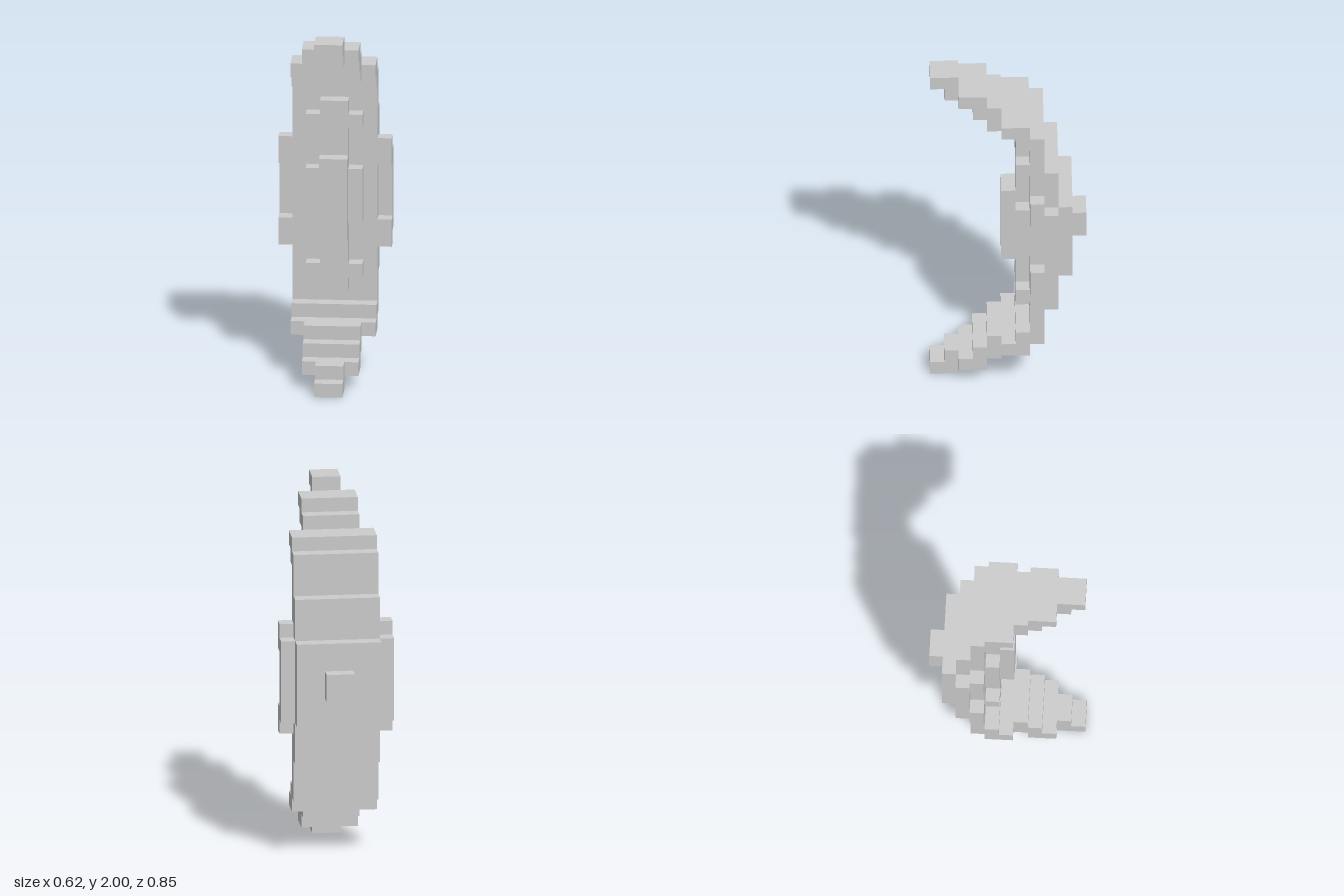
import * as THREE from 'three';

const U = 2 / 26; // one block unit; the model is 26 units tall

export function createModel() {
  const group = new THREE.Group();
  const grey = new THREE.MeshStandardMaterial({ color: 0xcccccc });
  grey.name = 'light grey';

  // Box from min/max block coordinates
  function block(name, x0, x1, y0, y1, z0, z1) {
    const mesh = new THREE.Mesh(
      new THREE.BoxGeometry((x1 - x0) * U, (y1 - y0) * U, (z1 - z0) * U), grey);
    mesh.position.set((x0 + x1) / 2 * U, (y0 + y1) / 2 * U, (z0 + z1) / 2 * U);
    mesh.name = name;
    group.add(mesh);
  }

  // Main plate and stepped back
  block('mainPlate', -3, 3, 5, 21, -2.5, -1.5);
  block('backPlate', -3, 3, 7, 19, -3.5, -2.5);
  block('backPanel', -3, 3, 10, 16, -4.5, -3.5);
  block('backKnob', -1, 1, 12, 14, -5.5, -4.5);

  // Raised front ornament
  block('frontSpine', -1, 1, 6, 20, -1.5, -0.5);
  block('frontRidge', -1, 1, 10, 16, -0.5, 0.5);

  // Curved limbs, mirrored top and bottom: [half width, y0, y1, z0, z1]
  const steps = [
    [3, 4, 5, -2.5, -0.5],
    [3, 3, 4, -1.5, 0.5],
    [2, 3, 4, 0.5, 1.5],
    [2, 2, 3, 0.5, 2.5],
    [2, 1, 2, 1.5, 3.5],
    [1, 1, 2, 3.5, 4.5],
    [1, 0, 1, 3.5, 5.5],
  ];
  for (const [w, y0, y1, z0, z1] of steps) {
    block('lowerLimbStep', -w, w, y0, y1, z0, z1);
    block('upperLimbStep', -w, w, 26 - y1, 26 - y0, z0, z1);
  }

  // Details mirrored left and right
  for (const [side, s] of [['left', 1], ['right', -1]]) {
    const put = (name, a, b, ...rest) =>
      block(side + name, Math.min(a * s, b * s), Math.max(a * s, b * s), ...rest);
    put('FrontStrip', 1, 2, 11, 15, -1.5, -0.5);
    put('LowerCrossArm', 1, 2, 7, 8, -1.5, -0.5);
    put('UpperCrossArm', 1, 2, 18, 19, -1.5, -0.5);
    put('SideRail', 3, 4, 10, 16, -3.5, -2.5);
    put('LowerSideLug', 3, 4, 9, 11, -2.5, -1.5);
    put('UpperSideLug', 3, 4, 15, 17, -2.5, -1.5);
  }
  return group;
}
